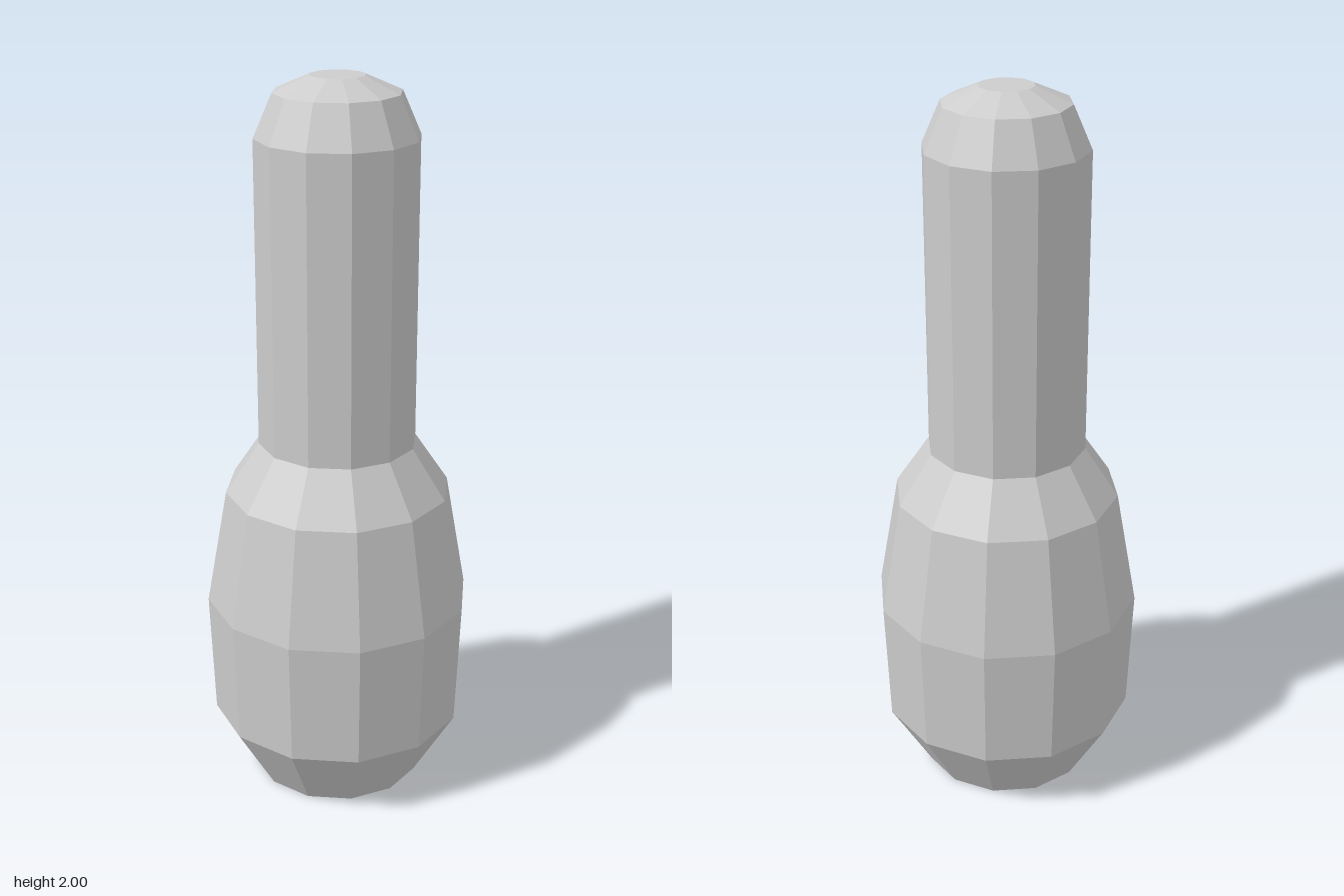
import * as THREE from 'three';

const SIDES = 12;

// Faceted lathe from [apothem, y] pairs, bottom to top, with flats facing the axes
function faceted(name, profile, material) {
  const scale = 1 / Math.cos(Math.PI / SIDES);
  const points = profile.map(([r, y]) => new THREE.Vector2(r * scale, y));
  const geometry = new THREE.LatheGeometry(points, SIDES, Math.PI / SIDES).toNonIndexed();
  geometry.computeVertexNormals(); // one flat normal per face
  const mesh = new THREE.Mesh(geometry, material);
  mesh.name = name;
  return mesh;
}

export function createModel() {
  const group = new THREE.Group();
  group.name = 'pin';
  const grey = new THREE.MeshStandardMaterial({ color: 0xcccccc });
  grey.name = 'light grey';

  group.add(
    // Bulging grip with a flat base and sloped shoulder
    faceted('grip', [[0, 0], [0.23, 0], [0.343, 0.2], [0.356, 0.55], [0.3, 0.875], [0.21, 1.015]], grey),
    // Straight shaft
    faceted('shaft', [[0.21, 1.015], [0.21, 1.845]], grey),
    // Bevelled tip with a small flat top
    faceted('tip', [[0.21, 1.845], [0.162, 1.958], [0.07, 2], [0, 2]], grey),
  );
  return group;
}
